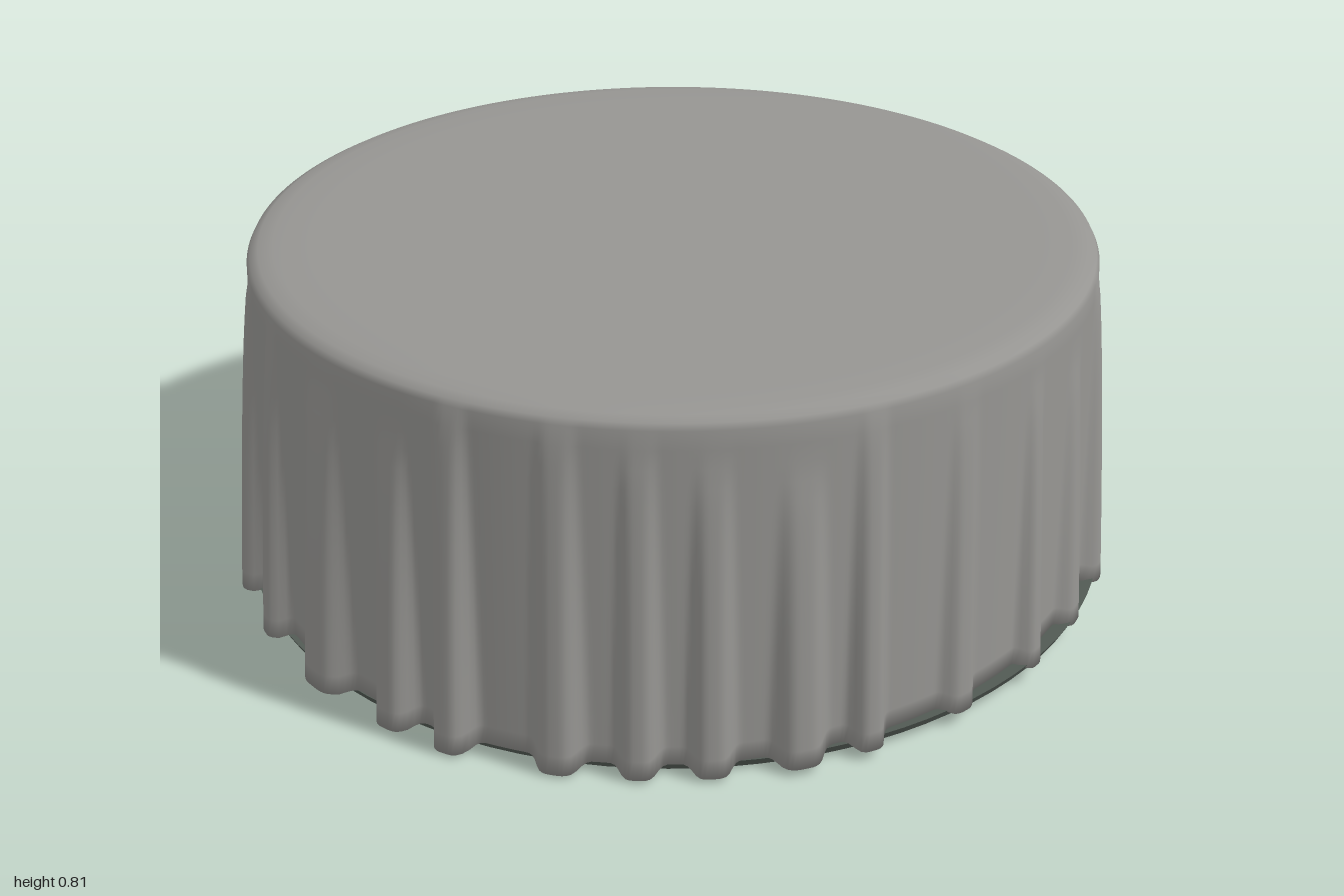
import * as THREE from 'three';

// Pleats: [angle in degrees from the front towards +x, half width in degrees, depth]
const PLEATS = [
  [2, 2.8, 0.045], [12, 2.4, 0.04], [21, 2.5, 0.04], [32, 3, 0.045], [41, 2.2, 0.04],
  [55, 2.4, 0.03], [69, 2, 0.035], [81, 2.6, 0.035], [93, 2.6, 0.045], [105, 2.2, 0.025],
  [120, 4, 0.03], [134, 2.2, 0.035], [148, 4, 0.04], [158, 2.2, 0.02], [175, 4, 0.05],
  [178.5, 2, 0.018], [191, 2.2, 0.04], [200, 2.4, 0.04], [211, 3.8, 0.045], [222, 2, 0.02],
  [235, 2.6, 0.04], [247, 3, 0.045], [263, 2.8, 0.05], [275, 2.6, 0.045], [300, 2.4, 0.055],
  [312, 2.4, 0.05], [326, 4, 0.055], [339, 2.8, 0.05], [348, 2.6, 0.055],
];

// Height of the lower edge: raised at the sides, lowest at the front
const hemHeight = (x, z) => 0.029 - 0.017 * z + 0.03 * x * x;

// Outward push of the folds at an angle, t running from 0 (top) to 1 (hem)
function foldDepth(deg, t) {
  let depth = 0;
  PLEATS.forEach(([a, w, d], i) => {
    const delta = Math.abs(((deg - a + 540) % 360) - 180);
    const start = (i % 4) * 0.05;
    const grow = Math.pow(Math.max(0, (t - start) / (1 - start)), 0.65);
    const width = w * (0.75 + 0.25 * t);
    depth = Math.max(depth, d * grow * Math.exp(-Math.pow(delta / width, 4)));
  });
  return depth;
}

// Cloth cover: round top, rolled edge, pleated skirt and a turned-under hem
function clothGeometry() {
  const N = 720, SKIRT = 18;
  const crown = [[0.4, 0.821], [0.8, 0.82], [0.88, 0.818], [0.915, 0.812], [0.933, 0.802]];
  const rowCount = crown.length + SKIRT + 2;
  const pos = [0, 0.821, 0], index = [];
  for (let r = 0; r < rowCount; r++) {
    for (let i = 0; i < N; i++) {
      const deg = (i / N) * 360, a = THREE.MathUtils.degToRad(deg);
      const sx = Math.sin(a), cz = Math.cos(a);
      let radius, y;
      if (r < crown.length) {
        [radius, y] = crown[r];
      } else {
        const s = r - crown.length;
        const t = Math.min(1, s / SKIRT);
        const fold = foldDepth(deg, t);
        const lift = 0.014 * (1 - Math.min(1, fold / 0.03));
        radius = 0.94 + 0.008 * t + fold;
        y = THREE.MathUtils.lerp(0.788, hemHeight(sx, cz) + lift, t);
        if (s > SKIRT) { radius = 0.9; y += 0.004; }
      }
      pos.push(radius * sx, y, radius * cz);
    }
  }
  for (let i = 0; i < N; i++) {
    const j = (i + 1) % N;
    index.push(0, 1 + i, 1 + j);
    for (let r = 0; r < rowCount - 1; r++) {
      const a = 1 + r * N + i, b = 1 + r * N + j;
      index.push(a, a + N, b, b, a + N, b + N);
    }
  }
  const g = new THREE.BufferGeometry();
  g.setAttribute('position', new THREE.Float32BufferAttribute(pos, 3));
  g.setIndex(index);
  g.computeVertexNormals();
  return g;
}

// Thin base plate, slightly oval and bent to follow the hem
function baseGeometry() {
  const g = new THREE.CylinderGeometry(1, 0.99, 0.018, 96, 1);
  const p = g.attributes.position;
  for (let i = 0; i < p.count; i++) {
    const x = p.getX(i) * 0.98, z = p.getZ(i) * 0.94;
    p.setXYZ(i, x, p.getY(i) + hemHeight(x, z) + 0.002, z);
  }
  g.computeVertexNormals();
  return g;
}

export function createModel() {
  const cloth = new THREE.MeshStandardMaterial({ color: 0x969592, side: THREE.DoubleSide });
  cloth.name = 'grey cloth';
  const dark = new THREE.MeshStandardMaterial({ color: 0x525a54 });
  dark.name = 'dark grey base';

  const model = new THREE.Group();
  model.name = 'drapedRoundTable';
  const cover = new THREE.Mesh(clothGeometry(), cloth);
  cover.name = 'pleatedCover';
  const base = new THREE.Mesh(baseGeometry(), dark);
  base.name = 'basePlate';
  model.add(cover, base);
  return model;
}
